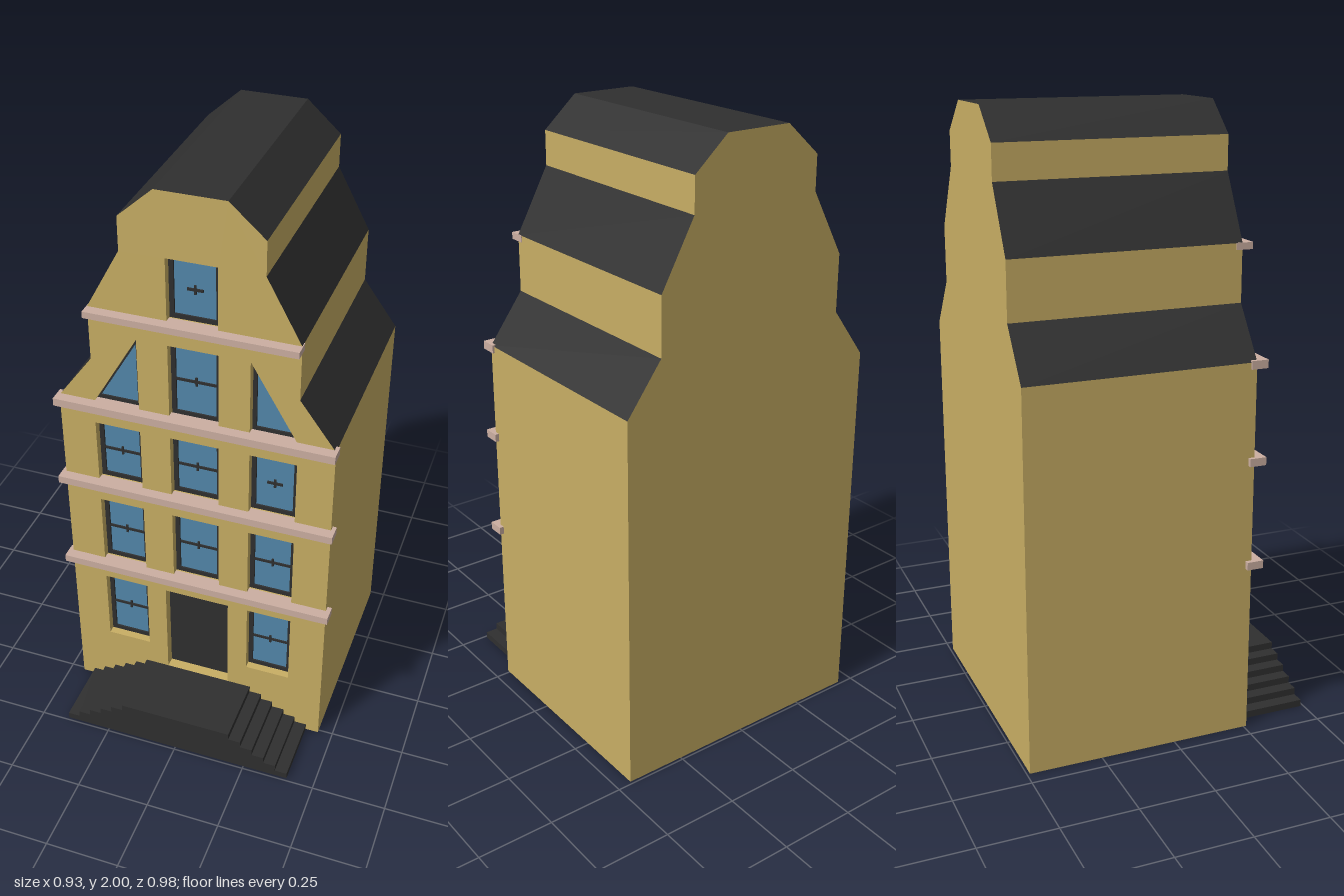
import * as THREE from 'three';

const mat = (name, color) => {
  const m = new THREE.MeshStandardMaterial({ color, side: THREE.DoubleSide });
  m.name = name;
  return m;
};

export function createModel() {
  const ochre = mat('ochre wall', 0xc8ae64);
  const dark = mat('charcoal', 0x2f2f2f);
  const glassBlue = mat('blue glass', 0x5287aa);
  const pink = mat('pink stone', 0xccafa2);

  const house = new THREE.Group();
  house.name = 'gabledHouse';
  const FRONT = 0.26, BACK = -0.49, RECESS = 0.225;

  const add = (name, geo, material, parent = house) => {
    const mesh = new THREE.Mesh(geo, material);
    mesh.name = name;
    parent.add(mesh);
    return mesh;
  };
  const shapeOf = pts => new THREE.Shape(pts.map(p => new THREE.Vector2(...p)));
  const face = (shape, z) => new THREE.ShapeGeometry(shape).translate(0, 0, z);
  const rect = (x0, x1, y0, y1) => [[x0, y0], [x1, y0], [x1, y1], [x0, y1]];

  // Flat band swept in z along a counter-clockwise profile
  const band = (pts, z0, z1) => {
    const v = [];
    for (let i = 0; i < pts.length - 1; i++) {
      const [ax, ay] = pts[i], [bx, by] = pts[i + 1];
      v.push(ax, ay, z1, ax, ay, z0, bx, by, z0, ax, ay, z1, bx, by, z0, bx, by, z1);
    }
    const g = new THREE.BufferGeometry();
    g.setAttribute('position', new THREE.Float32BufferAttribute(v, 3));
    g.computeVertexNormals();
    return g;
  };
  const reveal = pts => band([...pts, pts[0]].reverse(), RECESS, FRONT);

  // Gable silhouette, right half mirrored to the left
  const half = [[0.45, 0], [0.45, 1.24], [0.333, 1.4], [0.333, 1.585], [0.222, 1.79], [0.222, 1.9], [0.11, 2]];
  const mirror = pts => pts.map(([x, y]) => [-x, y]).reverse();
  const outline = [...half, ...mirror(half)];

  // Side walls are upright bands, roof slopes the tilted ones
  for (let i = 0; i < outline.length - 1; i++) {
    const upright = outline[i][0] === outline[i + 1][0];
    add(upright ? 'sideWall' : 'roofSlope', band([outline[i], outline[i + 1]], BACK, FRONT), upright ? ochre : dark);
  }
  add('backWall', face(shapeOf(outline), BACK).rotateY(Math.PI).translate(0, 0, 2 * BACK), ochre);

  // Stepped stoop profile, climbing from both sides
  const stepHalf = [];
  const STEPS = 6, TOP = 0.14;
  for (let i = 0; i < STEPS; i++) {
    const x = 0.405 - i * 0.042;
    stepHalf.push([x, TOP * i / STEPS], [x, TOP * (i + 1) / STEPS]);
  }
  const steps = [...stepHalf, ...mirror(stepHalf)];
  add('stoopSteps', band(steps, FRONT, 0.49), dark);
  add('stoopFront', face(shapeOf(steps), 0.49), dark);

  // Openings
  const door = rect(-0.112, 0.112, TOP, 0.505);
  const columns = [[-0.332, -0.18], [-0.08, 0.08], [0.18, 0.332]];
  const windows = [];
  for (const [row, [y0, y1]] of [[0.235, 0.505], [0.59, 0.848], [0.935, 1.16], [1.24, 1.5], [1.585, 1.792]].entries())
    columns.forEach(([x0, x1], col) => {
      if ((row === 0 || row > 2) && col === 1 && row === 0) return;
      if (row > 2 && col !== 1) return;
      windows.push({ x0, x1, y0, y1, short: row === 4 || (row === 2 && col === 2) });
    });
  const triangles = [1, -1].map(s => [[s * 0.18, 1.24], [s * 0.332, 1.24], [s * 0.18, 1.5]]);

  // Front wall, notched for the stoop and door
  const notch = [...stepHalf, ...door.slice(1, 3), ...mirror([...stepHalf, ...door.slice(1, 3)])];
  const wall = shapeOf([...outline, ...notch.reverse()]);
  for (const w of windows) wall.holes.push(new THREE.Path(rect(w.x0, w.x1, w.y0, w.y1).map(p => new THREE.Vector2(...p))));
  for (const t of triangles) wall.holes.push(new THREE.Path(t.map(p => new THREE.Vector2(...p))));
  add('frontWall', face(wall, FRONT), ochre);

  // Door
  add('doorReveal', reveal(door), ochre);
  add('door', face(shapeOf(door), RECESS), dark);

  // Framed opening: reveal, dark frame, glass
  const framed = (name, outer, inner) => {
    const g = new THREE.Group();
    g.name = name;
    house.add(g);
    add('windowReveal', reveal(outer), ochre, g);
    const ring = shapeOf(outer);
    ring.holes.push(new THREE.Path(inner.map(p => new THREE.Vector2(...p))));
    const frame = new THREE.ExtrudeGeometry(ring, { depth: 0.009, bevelEnabled: false });
    add('windowFrame', frame.translate(0, 0, RECESS), dark, g);
    add('windowGlass', face(shapeOf(inner), RECESS + 0.003), glassBlue, g);
    return g;
  };

  // Sash windows with a thin rail and a small centre crossing
  const F = 0.015;
  for (const { x0, x1, y0, y1, short } of windows) {
    const g = framed('sashWindow', rect(x0, x1, y0, y1), rect(x0 + F, x1 - F, y0 + F, y1 - F));
    const bar = (name, w, h) => add(name, new THREE.BoxGeometry(w, h, 0.008), dark, g)
      .position.set((x0 + x1) / 2, (y0 + y1) / 2, RECESS + 0.004);
    bar('sashRail', short ? 0.05 : x1 - x0 - 2 * F, 0.008);
    bar('sashCrossing', 0.007, 0.03);
  }

  // Triangular windows beside the gable
  for (const s of [1, -1])
    framed('triangleWindow', triangles[s > 0 ? 0 : 1], [[s * 0.193, 1.254], [s * 0.318, 1.254], [s * 0.193, 1.467]]);

  // Stone string courses
  for (const [y, w, h] of [[0.578, 0.465, 0.026], [0.923, 0.463, 0.026], [1.233, 0.457, 0.027], [1.575, 0.335, 0.022]])
    add('stoneLedge', new THREE.BoxGeometry(2 * w, h, 0.055), pink).position.set(0, y, 0.2675);

  return house;
}
